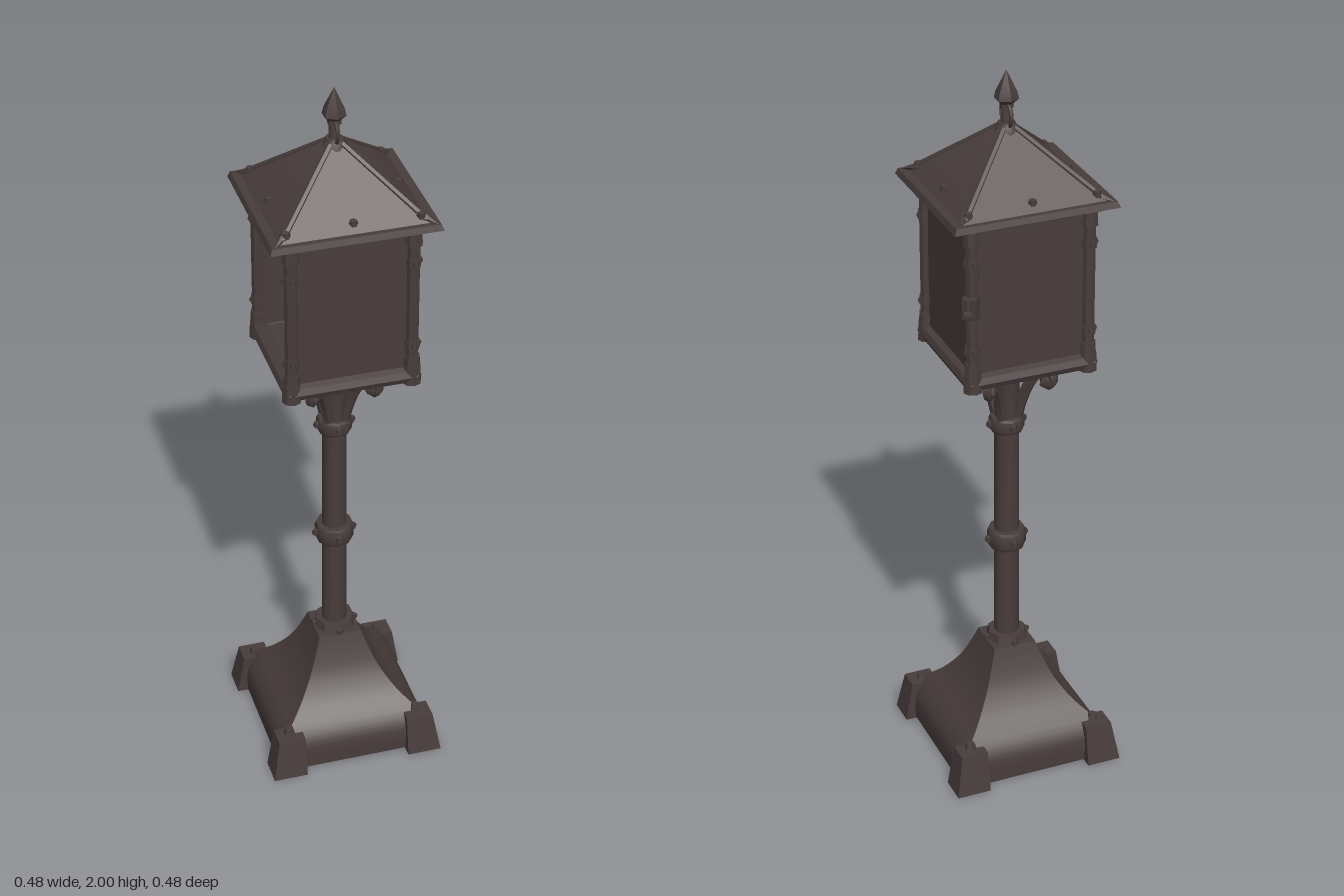
import * as THREE from 'three';
import { toCreasedNormals } from 'three/addons/utils/BufferGeometryUtils.js';

const iron = new THREE.MeshStandardMaterial({ color: 0x483c3c });
iron.name = 'darkIron';

const V = (x, y, z) => new THREE.Vector3(x, y, z);

export function createModel() {
  const root = new THREE.Group();
  root.name = 'lampPost';

  const add = (name, geo, x = 0, y = 0, z = 0, parent = root) => {
    const g = toCreasedNormals(geo, 0.75);
    const m = new THREE.Mesh(g, iron);
    m.name = name;
    m.position.set(x, y, z);
    parent.add(m);
    return m;
  };
  const box = (w, h, d) => new THREE.BoxGeometry(w, h, d);
  const cyl = (top, bottom, h, n = 10) => new THREE.CylinderGeometry(top, bottom, h, n);
  // square frustum given by half widths, with an optional depth ratio
  const square = (top, bottom, h, depth = 1) =>
    cyl(top * Math.SQRT2, bottom * Math.SQRT2, h, 4).rotateY(Math.PI / 4).scale(1, 1, depth);
  const lathe = (pts, n, start = 0) =>
    new THREE.LatheGeometry(pts.map(p => new THREE.Vector2(p[0], p[1])), n, start);
  const bolt = (x, y, z, r = 0.012, parent = root) =>
    add('bolt', new THREE.SphereGeometry(r, 6, 4), x, y, z, parent);
  const corners = [[1, 1], [1, -1], [-1, -1], [-1, 1]];
  const sides = [0, 1, 2, 3].map(i => i * Math.PI / 2);

  // flared square plinth
  const flare = new THREE.SplineCurve([
    [0.213, 0.005], [0.212, 0.07], [0.187, 0.118], [0.14, 0.165], [0.1, 0.225], [0.075, 0.285], [0.06, 0.33],
  ].map(p => new THREE.Vector2(p[0], p[1]))).getPoints(18);
  const s = Math.SQRT2;
  add('plinth', lathe([[0, 0.005], ...flare.map(p => [p.x * s, p.y]), [0, 0.33]], 4, Math.PI / 4));

  // tapered corner feet with bolts
  for (const [cx, cz] of corners) {
    const foot = box(0.095, 0.115, 0.08);
    const p = foot.attributes.position;
    for (let i = 0; i < p.count; i++) {
      if (p.getY(i) > 0) {
        if (p.getX(i) * cx > 0) p.setX(i, p.getX(i) - 0.02 * cx);
        if (p.getZ(i) * cz > 0) p.setZ(i, p.getZ(i) - 0.02 * cz);
      }
    }
    foot.computeVertexNormals();
    add('foot', foot, cx * 0.1945, 0.0575, cz * 0.2);
    add('footBolt', cyl(0.012, 0.018, 0.02, 6), cx * 0.183, 0.122, cz * 0.183);
  }

  // post and its collars
  add('post', cyl(0.033, 0.035, 0.74, 12), 0, 0.68, 0);
  add('baseCollar', cyl(0.053, 0.06, 0.03, 8), 0, 0.338, 0);
  const collar = (y, r, h) => {
    add('collar', lathe([[0.03, -h / 2], [r * 0.92, -h / 2], [r, -h / 3], [r, h / 3],
      [r * 0.92, h / 2], [0.03, h / 2]], 10), 0, y, 0);
    for (const a of sides) bolt(Math.sin(a) * r, y, Math.cos(a) * r, 0.011);
  };
  collar(0.652, 0.053, 0.054);
  collar(1.007, 0.048, 0.044);
  for (const a of sides) bolt(Math.sin(a) * 0.058, 0.335, Math.cos(a) * 0.058, 0.01);

  // flared capital under the lantern
  add('capital', lathe([[0.032, 1.02], [0.033, 1.08], [0.036, 1.14], [0.046, 1.19], [0.06, 1.218]], 10));

  // curled brackets on the diagonals
  for (const a of sides) {
    const g = new THREE.Group();
    g.name = 'bracket';
    g.rotation.y = a + Math.PI / 4;
    const path = new THREE.CatmullRomCurve3([
      V(0.028, 1.02, 0), V(0.04, 1.07, 0), V(0.058, 1.12, 0), V(0.083, 1.165, 0), V(0.115, 1.21, 0),
    ]);
    add('bracketArm', new THREE.TubeGeometry(path, 10, 0.016, 6), 0, 0, 0, g);
    const curl = new THREE.CatmullRomCurve3([
      V(0.09, 1.178, 0), V(0.125, 1.178, 0), V(0.132, 1.155, 0), V(0.118, 1.138, 0), V(0.102, 1.148, 0),
    ]);
    add('bracketCurl', new THREE.TubeGeometry(curl, 10, 0.013, 6), 0, 0, 0, g);
    bolt(0.113, 1.15, 0, 0.02, g);
    root.add(g);
  }

  // lantern floor with rounded edge rails
  add('lanternFloor', square(0.17, 0.17, 0.034), 0, 1.232, 0);
  for (const a of sides) {
    const rail = add('floorRail', cyl(0.023, 0.023, 0.345, 8).rotateZ(Math.PI / 2),
      Math.sin(a) * 0.16, 1.233, Math.cos(a) * 0.16);
    rail.rotation.y = a;
    const top = add('topRail', box(0.33, 0.02, 0.02), Math.sin(a) * 0.156, 1.652, Math.cos(a) * 0.156);
    top.rotation.y = a;
  }

  // lantern corner posts
  for (const [cx, cz] of corners) {
    const x = cx * 0.16, z = cz * 0.16;
    add('lanternPost', cyl(0.017, 0.017, 0.42, 8), x, 1.45, z);
    add('cornerCap', cyl(0.024, 0.026, 0.05, 8), x, 1.234, z);
    for (const y of [1.27, 1.64]) add('postShoe', cyl(0.021, 0.023, 0.04, 8), x, y, z);
    for (const y of [1.325, 1.57]) {
      add('postRing', cyl(0.02, 0.02, 0.024, 8), x, y, z);
      bolt(x + cx * 0.016, y, z, 0.009);
      bolt(x, y, z + cz * 0.016, 0.009);
    }
  }

  // solid panels on three sides, the model's right side stays open
  for (const k of [1, -1]) add('panel', box(0.3, 0.4, 0.012), 0, 1.45, k * 0.154);
  add('sidePanel', box(0.012, 0.4, 0.3), 0.154, 1.45, 0);

  // latch on one back corner post
  const latch = new THREE.Group();
  latch.name = 'latch';
  latch.position.set(0.16, 1.45, -0.16);
  latch.rotation.y = Math.PI * 0.75;
  add('latchPlate', box(0.036, 0.06, 0.03), 0, 0, 0.008, latch);
  add('latchBar', cyl(0.009, 0.009, 0.06, 6), 0, 0, 0.026, latch);
  bolt(0, -0.012, 0.03, 0.015, latch);
  root.add(latch);

  // eaves and hipped roof, slightly wider than deep
  add('eaveUnderside', square(0.212, 0.185, 0.02, 0.94), 0, 1.666, 0);
  add('eave', square(0.217, 0.223, 0.016, 0.935), 0, 1.682, 0);
  add('roof', square(0.02, 0.195, 0.16, 0.97), 0, 1.769, 0);
  for (const [cx, cz] of corners) {
    const hip = new THREE.LineCurve3(V(cx * 0.015, 1.848, cz * 0.015), V(cx * 0.184, 1.696, cz * 0.178));
    add('hipRib', new THREE.TubeGeometry(hip, 1, 0.009, 6));
    const end = add('hipEnd', new THREE.ConeGeometry(0.016, 0.06, 5), cx * 0.19, 1.696, cz * 0.18);
    end.quaternion.setFromUnitVectors(V(0, 1, 0), V(cx, -0.3, cz).normalize());
    bolt(cx * 0.174, 1.704, cz * 0.17, 0.014);
  }
  for (const a of sides) bolt(Math.sin(a) * 0.17, 1.708, Math.cos(a) * 0.166, 0.013);

  // finial with a ring
  add('finialBase', cyl(0.022, 0.034, 0.025, 8), 0, 1.85, 0);
  add('finialStem', cyl(0.012, 0.016, 0.06, 8), 0, 1.885, 0);
  add('finialRing', new THREE.TorusGeometry(0.034, 0.005, 6, 16).rotateY(Math.PI / 2), 0, 1.882, 0);
  add('finialSpear', lathe([[0, 1.9], [0.018, 1.9], [0.018, 1.912], [0.032, 1.925], [0.027, 1.945], [0, 2]], 6));

  return root;
}
